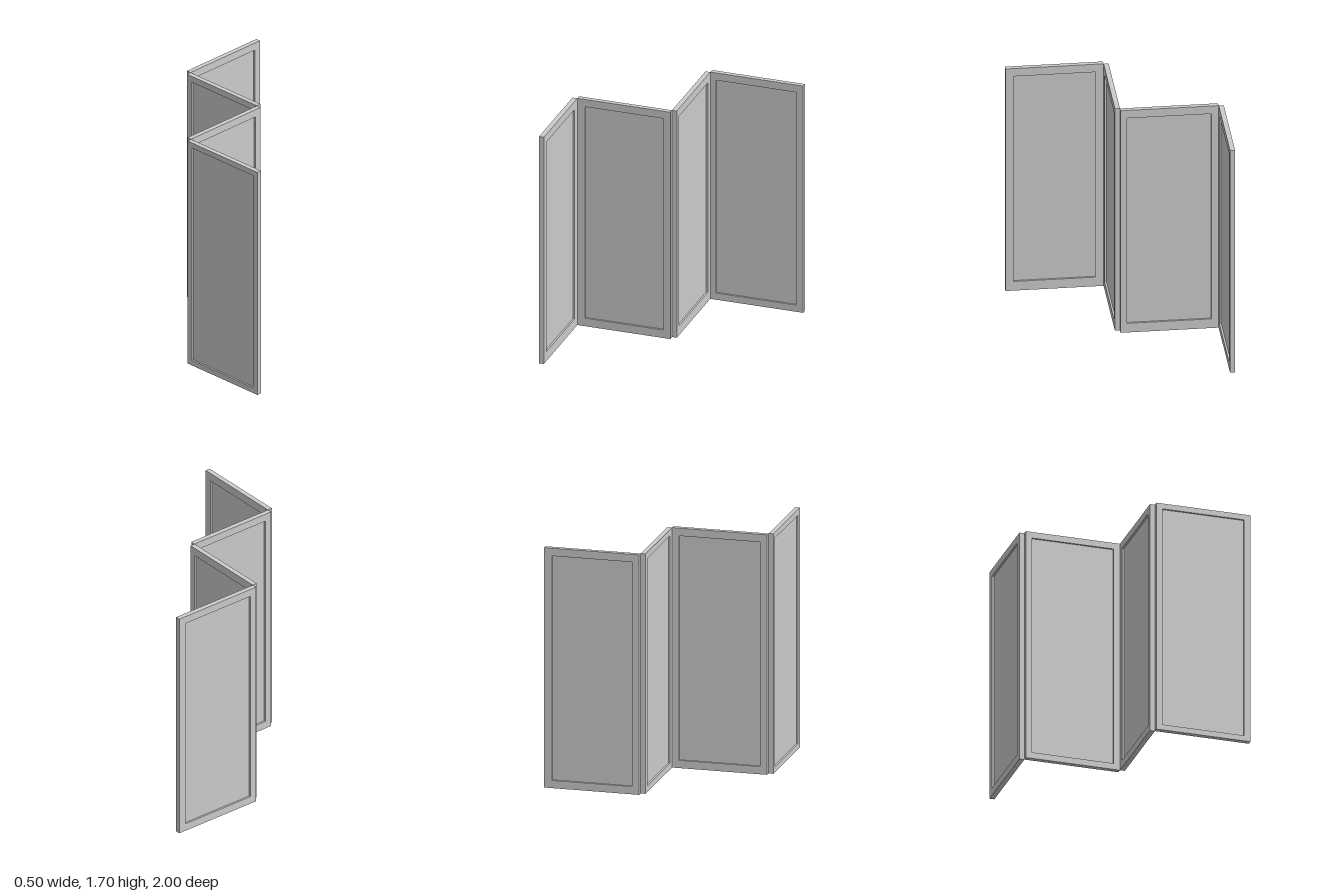
import * as THREE from 'three';

const HEIGHT = 1.7, WIDTH = 0.672, THICK = 0.035, CORE = 0.009;
const DEPTH = (THICK - CORE) / 2;

// Borders of each recess: [left, right, bottom, top]
const PANELS = [
  { z: 0.75, angle: -1, front: [0.043, 0.045, 0.04, 0.04], back: [0.055, 0.055, 0.07, 0.06] },
  { z: 0.25, angle: 1, front: [0.055, 0.05, 0.06, 0.055], back: [0.05, 0.05, 0.055, 0.055] },
  { z: -0.25, angle: -1, front: [0.045, 0.045, 0.045, 0.045], back: [0.05, 0.045, 0.07, 0.06] },
  { z: -0.75, angle: 1, front: [0.04, 0.05, 0.05, 0.055], back: [0.05, 0.055, 0.055, 0.055] },
];

function rectangle(target, x0, y0, x1, y1) {
  target.moveTo(x0, y0);
  target.lineTo(x1, y0);
  target.lineTo(x1, y1);
  target.lineTo(x0, y1);
  target.closePath();
  return target;
}

// Rectangular frame with an opening
function frameGeometry([left, right, bottom, top]) {
  const w = WIDTH / 2;
  const shape = rectangle(new THREE.Shape(), -w, 0, w, HEIGHT);
  shape.holes.push(rectangle(new THREE.Path(), -w + left, bottom, w - right, HEIGHT - top));
  return new THREE.ExtrudeGeometry(shape, { depth: DEPTH, bevelEnabled: false });
}

export function createModel() {
  const material = new THREE.MeshStandardMaterial({ color: 0xcccccc });
  const screen = new THREE.Group();
  screen.name = 'foldingScreen';

  PANELS.forEach(({ z, angle, front, back }, i) => {
    const panel = new THREE.Group();
    panel.name = `panel${i + 1}`;
    const add = (name, geometry, y, zPos) => {
      const mesh = new THREE.Mesh(geometry, material);
      mesh.name = name;
      mesh.position.set(0, y, zPos);
      panel.add(mesh);
    };
    // Thin infill sheet between the two frames
    add('infill', new THREE.BoxGeometry(WIDTH, HEIGHT, CORE), HEIGHT / 2, 0);
    add('frontFrame', frameGeometry(front), 0, CORE / 2);
    add('backFrame', frameGeometry(back), 0, -THICK / 2);
    // Zigzag placement
    panel.position.z = z;
    panel.rotation.y = angle * Math.PI / 4;
    screen.add(panel);
  });
  return screen;
}
